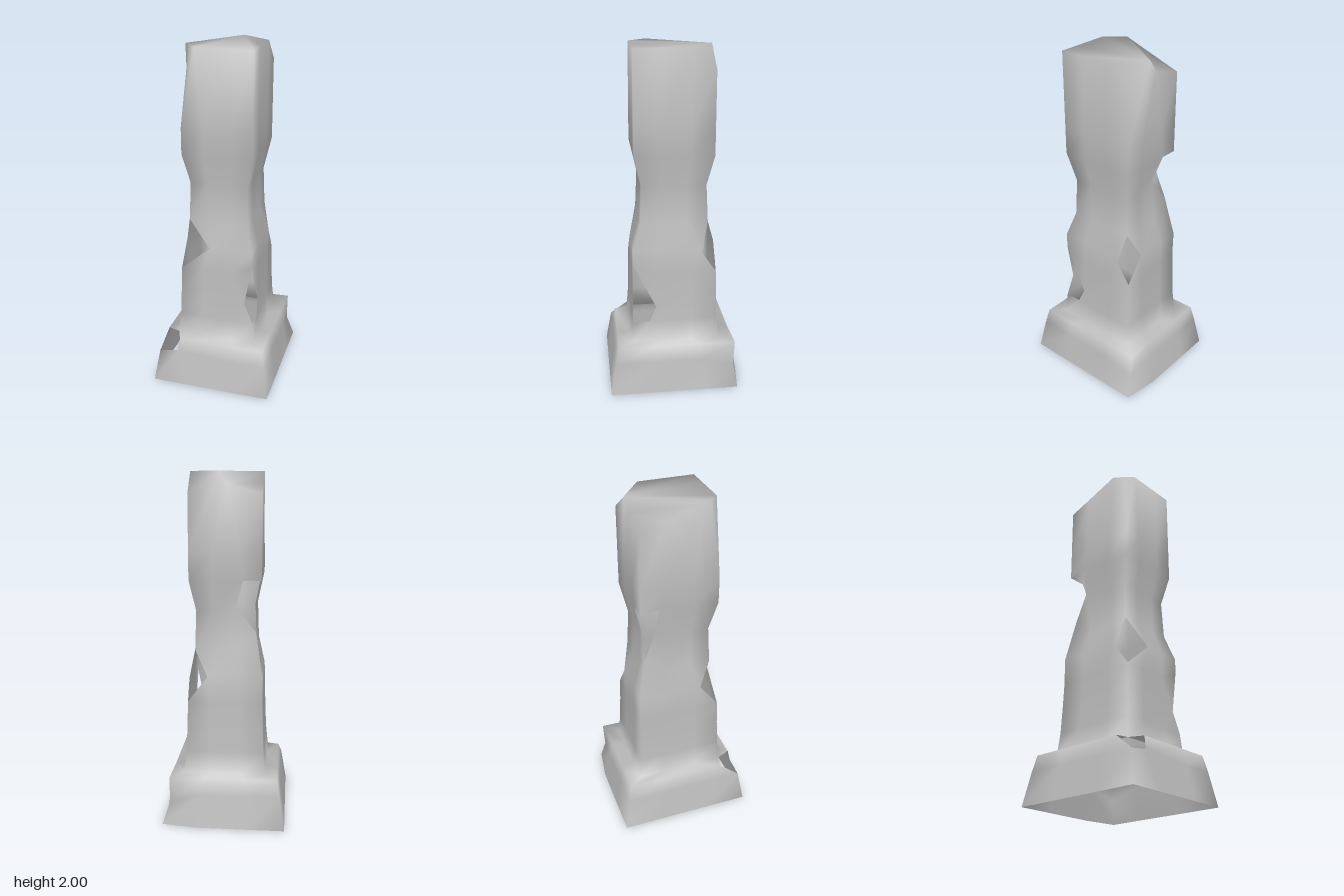
import * as THREE from 'three';

// Ring levels from the ground up: height, half width (x), half depth (z)
const LEVELS = [
  [0, 0.353, 0.393], [0.19, 0.323, 0.36], [0.284, 0.305, 0.34], // plinth
  [0.284, 0.235, 0.26], [0.41, 0.222, 0.25], [0.57, 0.216, 0.245], // lower shaft
  [0.71, 0.212, 0.242], [0.86, 0.213, 0.243], [1.01, 0.173, 0.196], // bulge
  [1.23, 0.166, 0.186], [1.41, 0.203, 0.226], [1.56, 0.203, 0.226], // waist
  [2, 0.203, 0.226], // top
];
// Corners sit at 0 front right-hand, 3 front left-hand, 6 and 9 at the back
const N = 12;
const TOP = LEVELS.length - 1;

// Worn vertices, keyed by level and index in the ring
const WORN = {
  '0,6': [0.353, 0, -0.363], '0,7': [0.15, 0, -0.393], // dented plinth corner
  '1,6': [0.31, 0.13, -0.34], '2,6': [0.31, 0.284, -0.35],
  '1,1': [-0.21, 0.21, 0.355], '2,1': [-0.2, 0.284, 0.34], '2,11': [-0.305, 0.284, 0.24],
  '7,1': [-0.04, 0.86, 0.243], '7,11': [-0.213, 0.86, 0.13], // gap edges
  '5,2': [0.17, 0.53, 0.245], '4,4': [0.222, 0.41, 0.15],
  '5,4': [0.216, 0.5, 0.11], '6,3': [0.212, 0.77, 0.242],
  '7,5': [0.213, 0.83, -0.16], '7,7': [0.1, 0.86, -0.243],
  '8,9': [-0.175, 1.11, -0.194], '9,8': [-0.06, 1.26, -0.186],
  '10,8': [-0.1, 1.41, -0.226], '10,10': [-0.198, 1.43, -0.12],
  '9,10': [-0.166, 1.27, -0.13],
  '12,0': [-0.165, 2, 0.175], '12,1': [-0.12, 2, 0.226], // broken top rim
  '12,11': [-0.203, 2, 0.12], '12,5': [0.203, 2, -0.1],
  '12,6': [0.203, 1.88, -0.226], '12,7': [0.03, 2, -0.226],
  '12,8': [-0.02, 1.93, -0.226], '12,9': [-0.203, 1.88, -0.226],
  '12,10': [-0.203, 1.93, -0.08],
};
// Vertices broken away, leaving gaps at the corners
const MISSING = new Set(['2,0', '7,0', '5,3', '7,6', '9,9']);
// Quads beside a gap that are lost completely
const LOST = new Set(['1,0', '4,3', '9,8', '9,9']);

function ringPoint(level, i) {
  const worn = WORN[`${level},${i}`];
  if (worn) return worn;
  const [y, w, d] = LEVELS[level];
  const f = [-1, -0.4, 0.4][i % 3];
  return [[f * w, y, d], [w, y, -f * d], [-f * w, y, -d], [-w, y, f * d]][Math.floor(i / 3)];
}

// Faces of the wall between two levels
function wall(from, to) {
  const index = [];
  for (let l = from; l < to; l++) {
    for (let i = 0; i < N; i++) {
      const j = (i + 1) % N;
      const quad = [[l, i], [l, j], [l + 1, j], [l + 1, i]];
      const ids = quad.map(([a, b]) => a * N + b);
      const gap = quad.findIndex(([a, b]) => MISSING.has(`${a},${b}`));
      if (gap < 0) {
        index.push(ids[0], ids[1], ids[2], ids[0], ids[2], ids[3]);
      } else if (!LOST.has(`${l},${i}`)) {
        index.push(...ids.filter((_, k) => k !== gap));
      }
    }
  }
  return index;
}

export function createModel() {
  const group = new THREE.Group();
  group.name = 'ruinedPillar';
  const stone = new THREE.MeshStandardMaterial({ color: 0xc0c0c0, side: THREE.DoubleSide });
  stone.name = 'grey stone';

  const points = [];
  LEVELS.forEach((_, l) => {
    for (let i = 0; i < N; i++) points.push(...ringPoint(l, i));
  });

  // Cap: flat half and a half that slopes down to the back corner
  const cap = [
    7, 11, 0, 7, 0, 1, 7, 1, 2, 7, 2, 3, 7, 3, 4, 7, 4, 5, 7, 5, 6,
    7, 8, 11, 8, 9, 10, 8, 10, 11,
  ].map((i) => TOP * N + i);
  const parts = { plinth: wall(0, 3), shaft: wall(3, TOP), cap };

  // Normals are smoothed across the whole shell, then shared by the parts
  const shell = new THREE.BufferGeometry();
  shell.setAttribute('position', new THREE.Float32BufferAttribute(points, 3));
  shell.setIndex(Object.values(parts).flat());
  shell.computeVertexNormals();

  for (const [name, index] of Object.entries(parts)) {
    const geometry = new THREE.BufferGeometry();
    geometry.setAttribute('position', shell.getAttribute('position'));
    geometry.setAttribute('normal', shell.getAttribute('normal'));
    geometry.setIndex(index);
    const mesh = new THREE.Mesh(geometry, stone);
    mesh.name = name;
    group.add(mesh);
  }
  return group;
}
